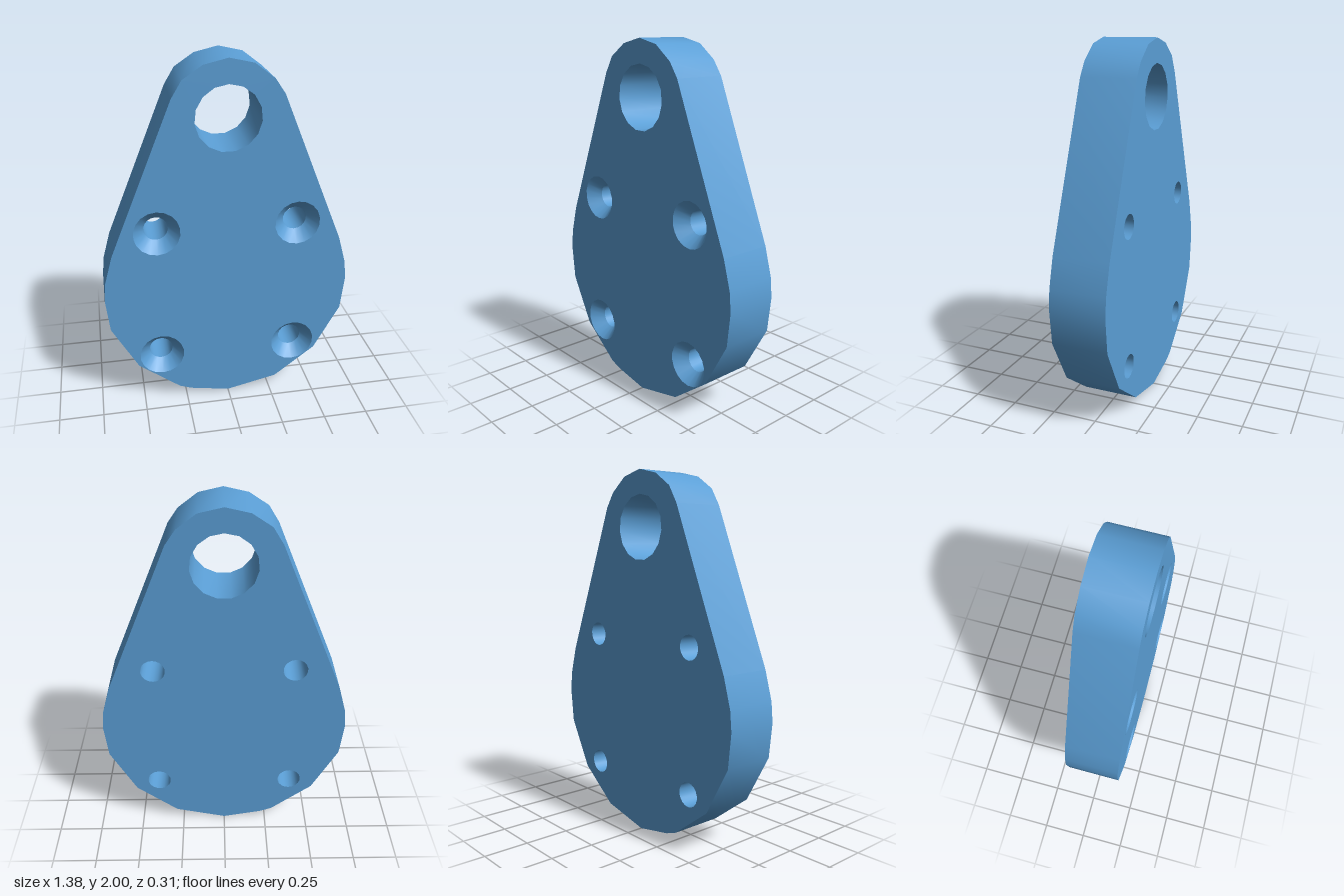
import * as THREE from 'three';
import { toCreasedNormals } from 'three/addons/utils/BufferGeometryUtils.js';

const HALF = 0.153, SINK = 0.07;
const material = new THREE.MeshStandardMaterial({ color: 0x5b9fd6 });

// Clockwise ring of points, so that walls built from it face the hole's axis
function ring(cx, cy, r, sides) {
  return Array.from({ length: sides }, (_, i) => {
    const a = Math.PI / 2 - (i / sides) * Math.PI * 2;
    return new THREE.Vector2(cx + r * Math.cos(a), cy + r * Math.sin(a));
  });
}

// Smooth wall joining a closed back ring to a matching front ring
function wall(name, back, zBack, front = back, zFront = HALF) {
  const pos = [], n = back.length;
  for (let i = 0; i < n; i++) {
    const j = (i + 1) % n;
    const a = [back[i].x, back[i].y, zBack], b = [back[j].x, back[j].y, zBack];
    const c = [front[j].x, front[j].y, zFront], d = [front[i].x, front[i].y, zFront];
    pos.push(...a, ...b, ...c, ...a, ...c, ...d);
  }
  const g = new THREE.BufferGeometry();
  g.setAttribute('position', new THREE.Float32BufferAttribute(pos, 3));
  return named(name, toCreasedNormals(g, 1.0));
}

// Flat face of the plate with its holes
function face(name, outline, holes, z, flip) {
  const shape = new THREE.Shape(outline);
  shape.holes = holes.map(h => new THREE.Path(h));
  const g = new THREE.ShapeGeometry(shape);
  if (flip) g.index.array.reverse();
  g.translate(0, 0, z);
  g.computeVertexNormals();
  return named(name, g);
}

function named(name, geometry) {
  const mesh = new THREE.Mesh(geometry, material);
  mesh.name = name;
  return mesh;
}

export function createModel() {
  const group = new THREE.Group();
  group.name = 'mountingPlate';

  // Teardrop outline, counter-clockwise from the bottom
  const outline = [
    [0, 0], [0.29, 0.065], [0.525, 0.245], [0.67, 0.51], [0.69, 0.7], [0.68, 0.81],
    [0.635, 0.97], [0.29, 1.81], [0.235, 1.89], [0.13, 1.97], [0, 2], [-0.13, 1.97],
    [-0.235, 1.9], [-0.29, 1.81], [-0.635, 0.97], [-0.68, 0.81], [-0.69, 0.7],
    [-0.67, 0.51], [-0.525, 0.245], [-0.29, 0.065], [-0.22, 0.04],
  ].map(([x, y]) => new THREE.Vector2(x, y));

  const eye = ring(0, 1.695, 0.176, 15);
  const bores = [], sinks = [];
  for (const x of [-0.388, 0.388]) for (const y of [0.306, 1.085]) {
    bores.push(ring(x, y, 0.067, 18));
    sinks.push(ring(x, y, 0.127, 18));
  }

  group.add(
    face('frontFace', outline, [eye, ...sinks], HALF, false),
    face('backFace', outline, [eye, ...bores], -HALF, true),
    wall('rim', outline, -HALF),
    wall('eyeHole', eye, -HALF),
  );

  // Countersunk screw holes
  bores.forEach((bore, i) => {
    group.add(
      wall('screwBore', bore, -HALF, bore, HALF - SINK),
      wall('countersink', bore, HALF - SINK, sinks[i], HALF),
    );
  });
  return group;
}
